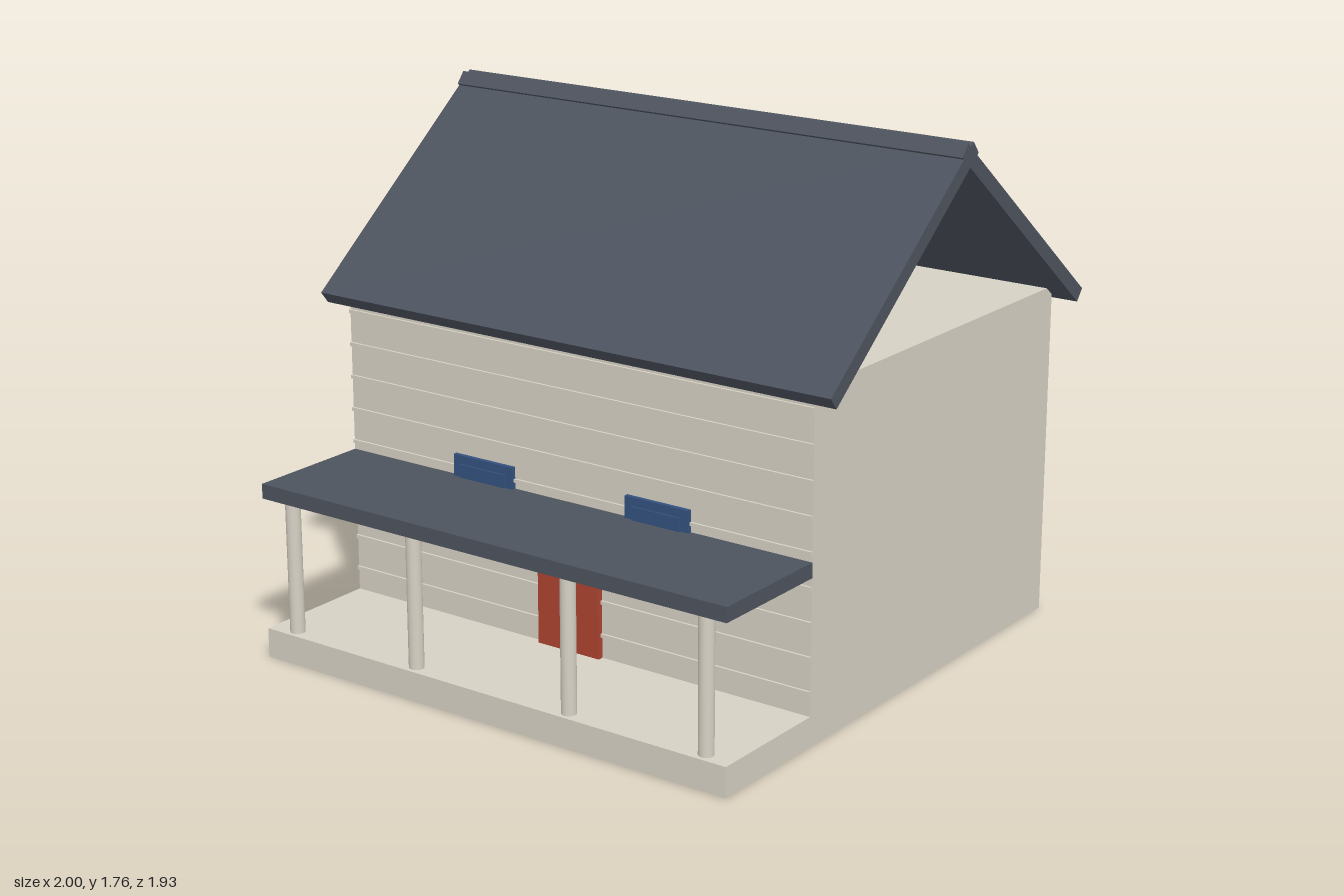
import * as THREE from 'three';

const material = (name, color) => {
  const m = new THREE.MeshStandardMaterial({ color });
  m.name = name;
  return m;
};

export function createModel() {
  const house = new THREE.Group();
  house.name = 'house';

  const cream = material('cream', 0xd6d1c4);
  const slate = material('slate', 0x4d535e);
  const blue = material('blue', 0x34527f);
  const red = material('red', 0xad4431);

  const add = (name, geometry, mat, x, y, z) => {
    const mesh = new THREE.Mesh(geometry, mat);
    mesh.name = name;
    mesh.position.set(x, y, z);
    house.add(mesh);
    return mesh;
  };
  // Box given by its lower and upper limits on each axis
  const box = (name, mat, [x0, x1], [y0, y1], [z0, z1]) =>
    add(name, new THREE.BoxGeometry(x1 - x0, y1 - y0, z1 - z0), mat,
      (x0 + x1) / 2, (y0 + y1) / 2, (z0 + z1) / 2);

  const W = 0.915;      // half width of the house
  const FRONT = 0.516;  // front wall
  const PORCH = 0.962;  // front edge of the porch

  box('walls', cream, [-W, W], [0, 1.143], [-0.914, FRONT]);

  // Siding battens on the front wall
  for (let i = 0; i < 9; i++) {
    const y = 0.178 + i * 0.1127;
    box('sidingBatten', cream, [-W, W], [y - 0.006, y + 0.006], [FRONT, FRONT + 0.008]);
  }

  // Two tilted roof slabs that cross at the ridge
  const pitch = Math.atan(0.8);
  for (const side of [1, -1]) {
    const slab = add(side > 0 ? 'frontRoof' : 'backRoof',
      new THREE.BoxGeometry(2, 0.05, 1), slate, 0, 1.431, -0.201 + side * 0.358);
    slab.rotation.x = side * pitch;
  }

  // Porch
  box('porchFloor', cream, [-W, W], [0, 0.1], [FRONT, PORCH]);
  box('porchRoof', slate, [-W, W], [0.55, 0.6], [FRONT, PORCH]);
  for (const x of [-0.818, -0.306, 0.306, 0.818]) {
    add('porchColumn', new THREE.CylinderGeometry(0.025, 0.025, 0.45, 24), cream, x, 0.325, 0.924);
  }

  // Door and windows
  box('door', red, [-0.122, 0.122], [0.1, 0.512], [FRONT, FRONT + 0.02]);
  for (const side of [-1, 1]) {
    const x = side * 0.347;
    box('windowFrame', blue, [x - 0.122, x + 0.122], [0.352, 0.674], [FRONT, FRONT + 0.015]);
    box('windowPane', blue, [x - 0.092, x + 0.092], [0.382, 0.645], [FRONT, FRONT + 0.021]);
  }

  return house;
}
